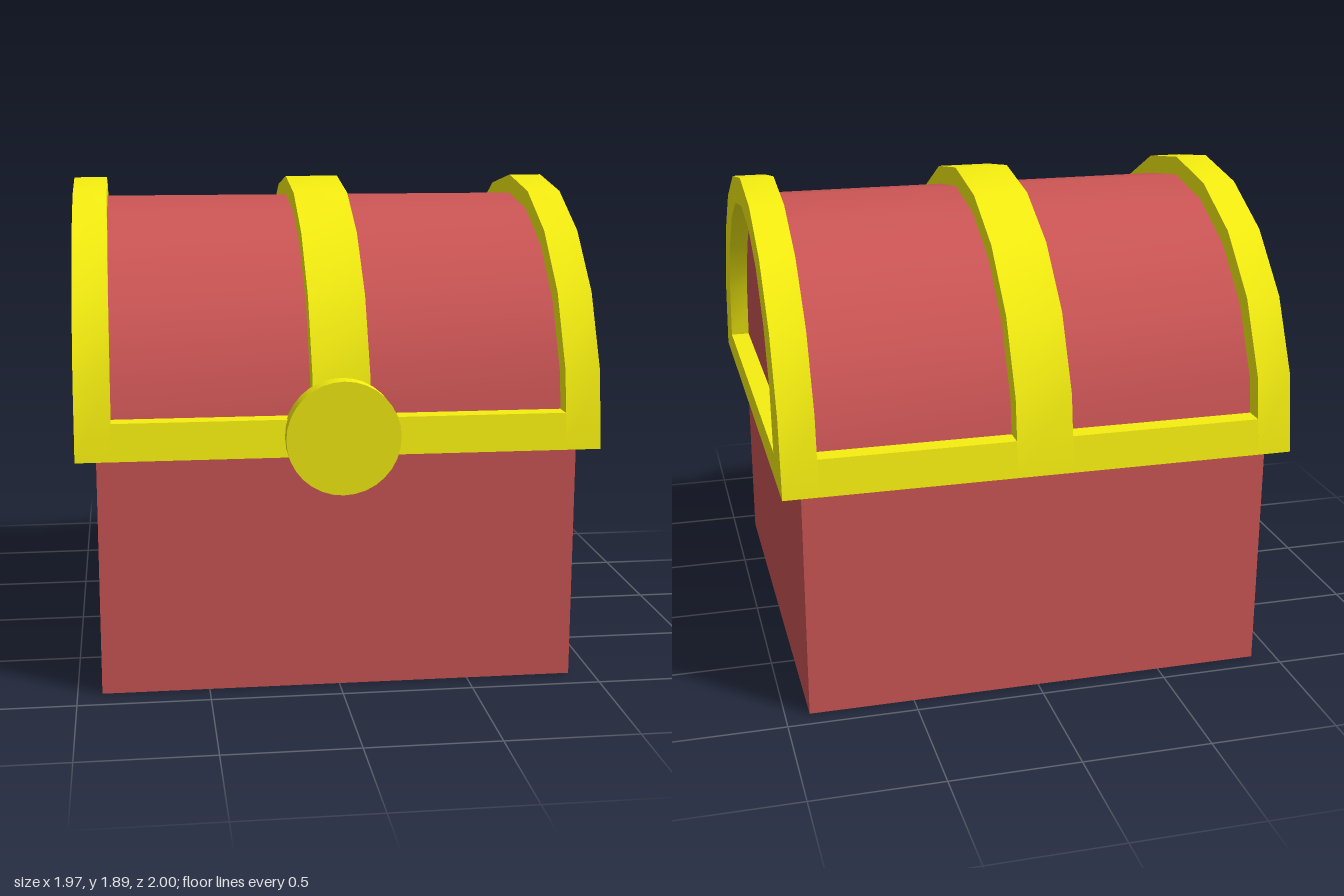
import * as THREE from 'three';
import { toCreasedNormals } from 'three/addons/utils/BufferGeometryUtils.js';

const RED = new THREE.MeshStandardMaterial({ color: 0xcc5555 });
const GOLD = new THREE.MeshStandardMaterial({ color: 0xf5ee10 });
const LID_Y = 0.917; // height where the lid meets the body
const MID_Z = -0.017; // centre of the chest, shifted back to make room for the lock

// Right half of the arches, from the base up to the crown: [offset, height]
const OUTER = [[0.98, LID_Y], [0.935, 1.213], [0.795, 1.49], [0.578, 1.705], [0.307, 1.842], [0, 1.893]];
const INNER = [[0.76, 1.02], [0.725, 1.255], [0.617, 1.465], [0.445, 1.64], [0.235, 1.745], [0, 1.78]];
const LID = OUTER.map(([z, y]) => [z * 0.922, LID_Y + (y - LID_Y) * 0.922]);
const RAIL = [[0.98, LID_Y], [0.959, 1.055]];

// Mirrors a half profile into a closed outline
function mirrored(half) {
  const left = half.filter(([z]) => z > 0).reverse().map(([z, y]) => [-z, y]);
  return [...half, ...left].map(([z, y]) => new THREE.Vector2(z, y));
}

// Extrudes a mirrored profile along x, from x0 to x1
function slab(name, half, x0, x1, material, holeHalf) {
  const shape = new THREE.Shape(mirrored(half));
  if (holeHalf) shape.holes.push(new THREE.Path(mirrored(holeHalf)));
  let geo = new THREE.ExtrudeGeometry(shape, { depth: x1 - x0, bevelEnabled: false });
  geo.translate(0, 0, x0);
  geo.rotateY(Math.PI / 2);
  geo.translate(0, 0, MID_Z);
  geo = toCreasedNormals(geo, 0.5);
  const mesh = new THREE.Mesh(geo, material);
  mesh.name = name;
  return mesh;
}

export function createModel() {
  const chest = new THREE.Group();
  chest.name = 'treasureChest';

  // Box-shaped body
  const body = new THREE.Mesh(new THREE.BoxGeometry(1.814, LID_Y, 1.82), RED);
  body.name = 'body';
  body.position.set(0, LID_Y / 2, MID_Z);
  chest.add(body);

  // Barrel lid, its ends recessed behind the end frames
  chest.add(slab('lid', LID, -0.907, 0.907, RED));

  // Metal trim: end frames, centre band and the rails along front and back
  chest.add(slab('leftEndFrame', OUTER, 0.85, 0.983, GOLD, INNER));
  chest.add(slab('rightEndFrame', OUTER, -0.983, -0.85, GOLD, INNER));
  chest.add(slab('centreBand', OUTER, -0.108, 0.108, GOLD));
  chest.add(slab('lidRails', RAIL, -0.85, 0.85, GOLD));

  // Round lock plate
  const lockGeo = new THREE.CylinderGeometry(0.214, 0.214, 0.078, 32);
  lockGeo.rotateX(Math.PI / 2);
  const lock = new THREE.Mesh(lockGeo, GOLD);
  lock.name = 'lock';
  lock.position.set(0, 0.99, 0.961);
  chest.add(lock);

  return chest;
}
